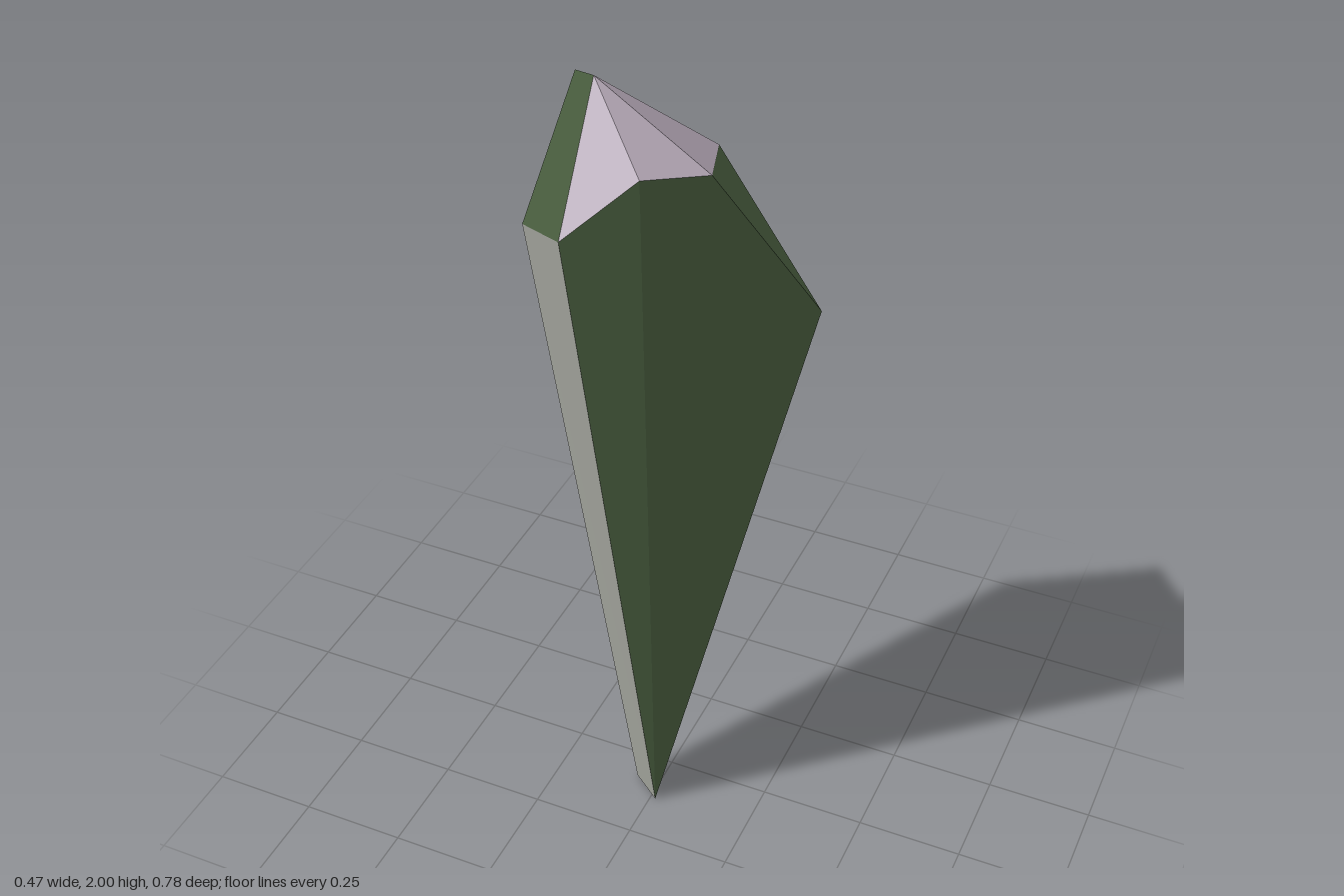
import * as THREE from 'three';

// Corner points of the cut shard
const P = {
  crown: [-0.055, 2, 0.235],
  crownBack: [-0.16, 1.93, 0.105],
  ridge: [0.022, 1.655, -0.195],
  front: [-0.062, 1.72, 0.39],
  frontLeft: [0.085, 1.86, 0.338],
  left: [0.176, 1.825, 0.207],
  right: [-0.236, 1.62, 0.21],
  backLeft: [0.235, 1.237, -0.29],
  back: [0.182, 1.147, -0.395],
  backRight: [-0.01, 1.03, -0.354],
  tipLeft: [0.013, 0, 0.13],
  tipRight: [-0.06, 0, 0.075],
};
const CENTRE = new THREE.Vector3(0, 1.3, 0.05);

// Fan of flat triangles through the named corners, turned to face outwards
function facets(name, material, polygons) {
  const positions = [];
  for (const polygon of polygons) {
    const pts = polygon.map((key) => new THREE.Vector3(...P[key]));
    for (let i = 1; i < pts.length - 1; i++) {
      const tri = new THREE.Triangle(pts[0], pts[i], pts[i + 1]);
      const normal = tri.getNormal(new THREE.Vector3());
      const outward = tri.getMidpoint(new THREE.Vector3()).sub(CENTRE);
      const order = normal.dot(outward) > 0 ? [tri.a, tri.b, tri.c] : [tri.a, tri.c, tri.b];
      order.forEach((v) => positions.push(v.x, v.y, v.z));
    }
  }
  const geometry = new THREE.BufferGeometry();
  geometry.setAttribute('position', new THREE.Float32BufferAttribute(positions, 3));
  geometry.computeVertexNormals();
  const mesh = new THREE.Mesh(geometry, material);
  mesh.name = name;
  return mesh;
}

function paint(name, color) {
  const material = new THREE.MeshStandardMaterial({ color });
  material.name = name;
  return material;
}

export function createModel() {
  const green = paint('mossGreen', 0x4a5f40);
  const lilac = paint('paleLilac', 0xbaadbc);
  const grey = paint('stoneGrey', 0xa5a79f);
  const dark = paint('darkGrey', 0x4a484a);

  const shard = new THREE.Group();
  shard.name = 'shard';
  shard.add(
    // Long facets running down to the tip on the left
    facets('leftSide', green, [
      ['front', 'frontLeft', 'tipLeft'],
      ['frontLeft', 'left', 'tipLeft'],
      ['left', 'backLeft', 'tipLeft'],
      ['backLeft', 'back', 'tipLeft'],
      ['ridge', 'backLeft', 'left'],
    ]),
    // Right side, up to the crown
    facets('rightSide', green, [
      ['right', 'crownBack', 'crown', 'front'],
      ['backRight', 'crownBack', 'ridge'],
      ['backRight', 'crownBack', 'right'],
      ['backRight', 'right', 'tipRight'],
    ]),
    // Pale cut top
    facets('crownTop', lilac, [
      ['crown', 'front', 'frontLeft'],
      ['crown', 'frontLeft', 'left'],
      ['crown', 'left', 'ridge'],
      ['crown', 'ridge', 'crownBack'],
    ]),
    facets('backSlope', lilac, [
      ['ridge', 'backLeft', 'back'],
      ['ridge', 'back', 'backRight'],
    ]),
    // Grey faces at the front and back, and the dark underside
    facets('frontFace', grey, [['right', 'front', 'tipLeft', 'tipRight']]),
    facets('backFace', grey, [['backRight', 'back', 'tipRight']]),
    facets('underside', dark, [['back', 'tipLeft', 'tipRight']]),
  );
  return shard;
}
